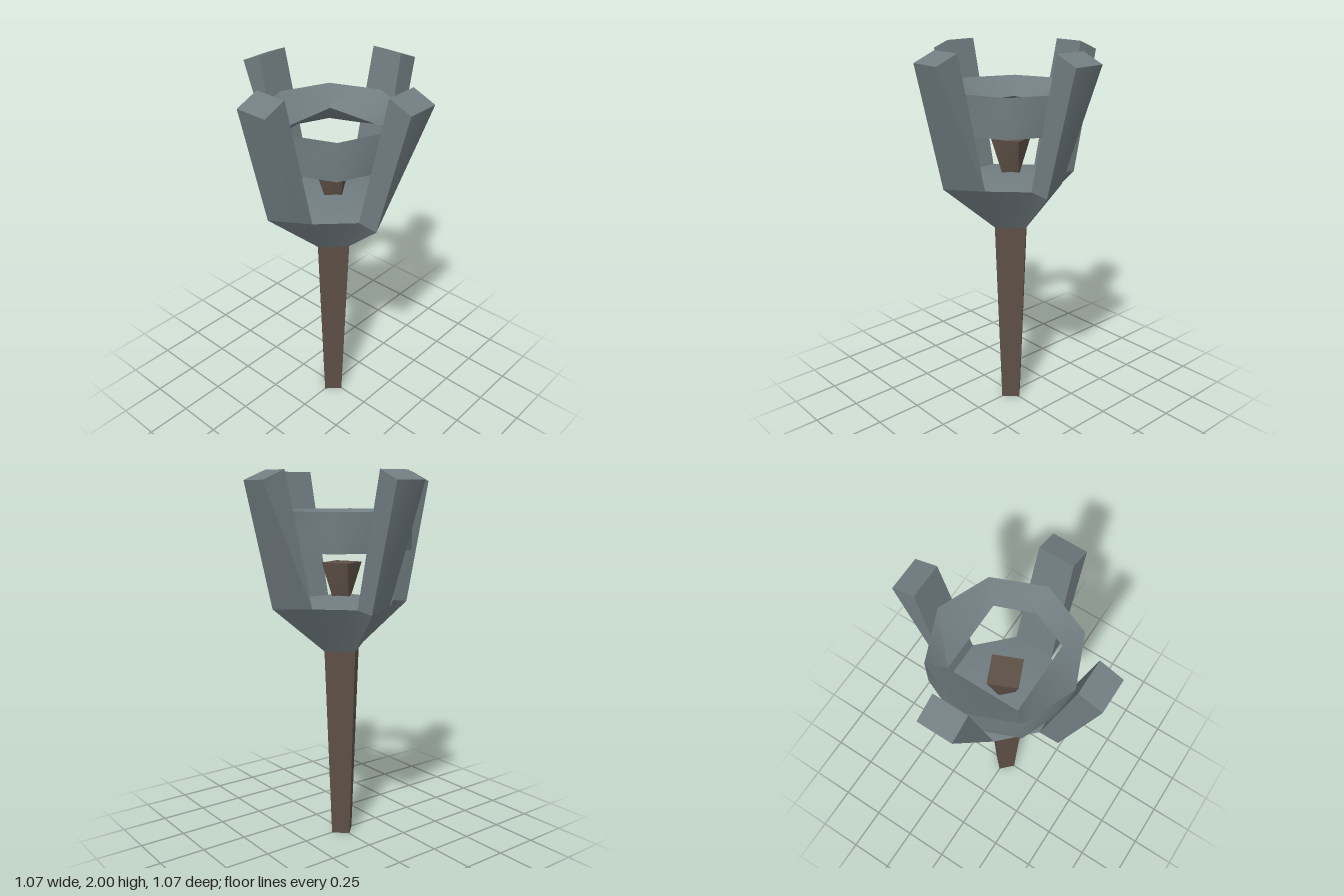
import * as THREE from 'three';
import { toCreasedNormals } from 'three/addons/utils/BufferGeometryUtils.js';

const V = (x, y, z) => new THREE.Vector3(x, y, z);
const UP = V(0, 1, 0);

// Turns polygons (counter-clockwise from outside) into a geometry
function fromPolygons(polygons) {
  const points = [];
  for (const p of polygons) {
    for (let i = 1; i < p.length - 1; i++) points.push(p[0], p[i], p[i + 1]);
  }
  return toCreasedNormals(new THREE.BufferGeometry().setFromPoints(points), 1.0);
}

// Key points of one prong, turned by a quarter turn for each index
function prongPoints(k) {
  const at = (x, y, z) => V(x, y, z).applyAxisAngle(UP, k * Math.PI / 2);
  const pair = (x, y, z) => [at(-x, y, z), at(x, y, z)];
  return {
    tip: at(0, 1.06, 0.117),
    elbow: at(-0.1, 1.3, 0.375),
    root: pair(0.107, 1.315, 0.27),
    topOuter: pair(0.088, 1.95, 0.533),
    topInner: pair(0.088, 2.0, 0.41),
  };
}

// Square ring of points with one corner at the given angle
function square(radius, y, angle) {
  return [0, 1, 2, 3].map((k) => {
    const a = angle + k * Math.PI / 2;
    return V(radius * Math.sin(a), y, radius * Math.cos(a));
  });
}

export function createModel() {
  const iron = new THREE.MeshStandardMaterial({ color: 0x717d81 });
  iron.name = 'iron';
  const wood = new THREE.MeshStandardMaterial({ color: 0x5e5046 });
  wood.name = 'wood';

  const model = new THREE.Group();
  model.name = 'torch';
  const add = (name, geometry, material) => {
    const mesh = new THREE.Mesh(geometry, material);
    mesh.name = name;
    model.add(mesh);
    return mesh;
  };

  // Tapered four-sided handle
  const handle = new THREE.CylinderGeometry(0.117, 0.07, 1.06, 4);
  add('handle', toCreasedNormals(handle, 0.9), wood).position.y = 0.53;

  // Twisted wooden core standing in the basket, wider at the top
  const low = square(0.06, 1.34, 0);
  const high = square(0.11, 1.53, -0.38);
  const core = [high];
  for (let k = 0; k < 4; k++) {
    const n = (k + 1) % 4;
    core.push([low[k], low[n], high[n], high[k]]);
  }
  add('core', fromPolygons(core), wood);

  // Four prongs, each twisting into a single elbow, and the cup between them
  const cup = [];
  const centre = V(0, 1.365, 0);
  for (let k = 0; k < 4; k++) {
    const { tip, elbow, root: r, topOuter: o, topInner: i } = prongPoints(k);
    const next = prongPoints(k + 1);
    add('prong', fromPolygons([
      [elbow, o[1], o[0]],
      [elbow, r[1], o[1]],
      [r[1], i[1], o[1]],
      [o[0], o[1], i[1], i[0]],
      [r[1], r[0], i[0], i[1]],
      [r[0], elbow, o[0], i[0]],
    ]), iron);
    cup.push(
      [tip, r[1], elbow],
      [tip, elbow, r[0]],
      [tip, next.tip, next.root[0], r[1]],
      [r[0], r[1], centre],
      [r[1], next.root[0], centre],
    );
  }
  add('cup', fromPolygons(cup), iron);

  // Band around the prongs: triangular section with an uneven inner edge
  const inner = [[0, 0.19], [0.19, 0.19], [0.265, 0], [0.19, -0.19],
    [0, -0.19], [-0.19, -0.19], [-0.19, 0], [-0.19, 0.19]];
  const section = (k) => {
    const a = k * Math.PI / 4;
    const x = 0.367 * Math.sin(a), z = 0.367 * Math.cos(a);
    const [ix, iz] = inner[k % 8];
    return [V(x, 1.6, z), V(x, 1.8, z), V(ix, 1.7, iz)];
  };
  const band = [];
  for (let k = 0; k < 8; k++) {
    const a = section(k), b = section(k + 1);
    for (let j = 0; j < 3; j++) {
      const n = (j + 1) % 3;
      band.push([a[j], b[j], b[n], a[n]]);
    }
  }
  add('band', fromPolygons(band), iron);

  return model;
}
